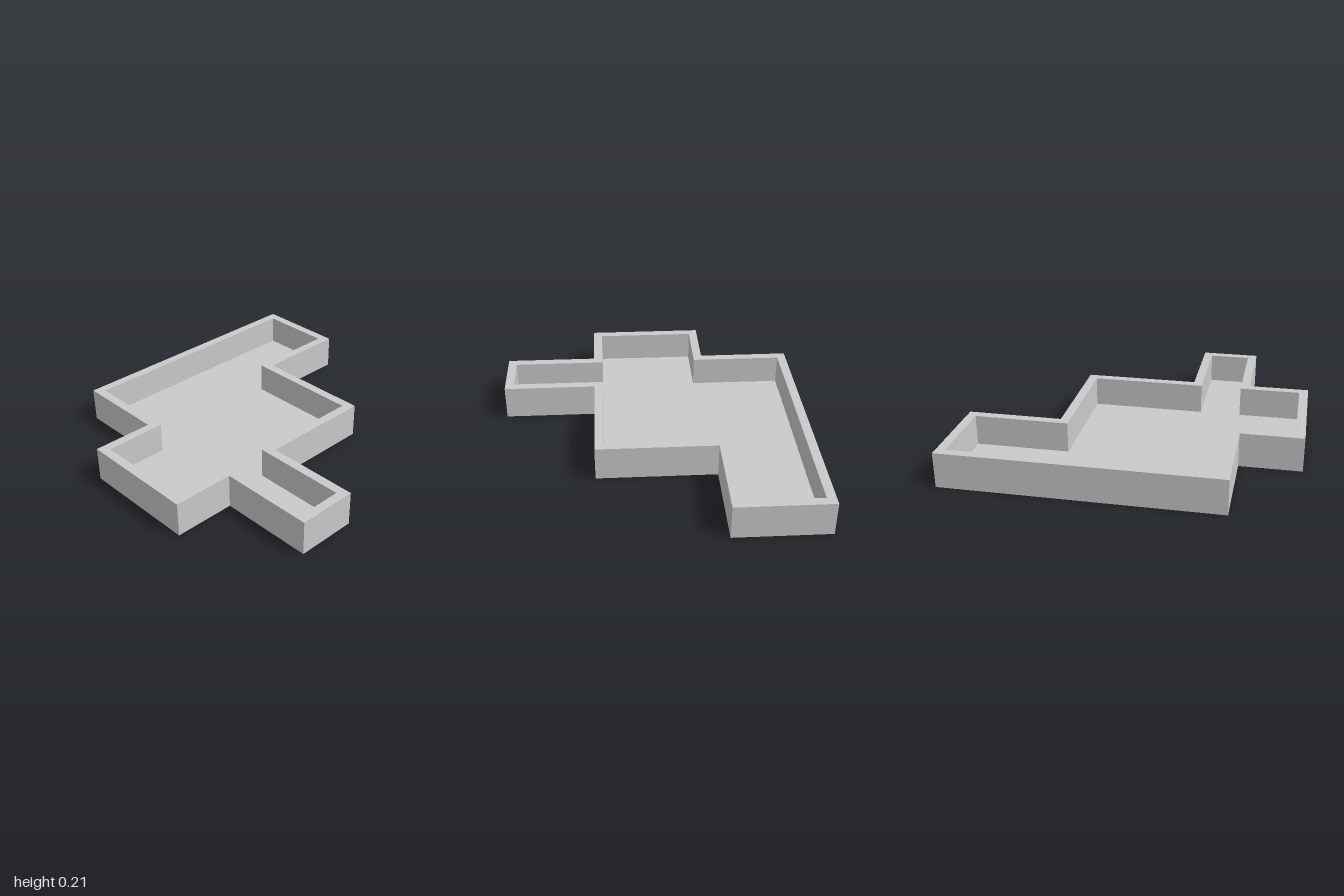
import * as THREE from 'three';

const HEIGHT = 0.21;
const WALL = 0.055;
const FLOOR = 0.026;

// Right-angled plan outline as [x, z], walked clockwise seen from above
const PLAN = [
  [-0.936, -1], [-0.366, -1], [-0.366, -0.433], [0.362, -0.433],
  [0.362, 0.265], [0.936, 0.265], [0.936, 0.628], [0.362, 0.628],
  [0.362, 1], [-0.366, 1], [-0.366, 0.628], [-0.936, 0.628],
];

// Move every corner inwards by d along both of its walls' normals
function inset(plan, d) {
  const n = plan.length;
  const normal = (a, b) => [-Math.sign(b[1] - a[1]), Math.sign(b[0] - a[0])];
  return plan.map((p, i) => {
    const n1 = normal(plan[(i + n - 1) % n], p);
    const n2 = normal(p, plan[(i + 1) % n]);
    return [p[0] + d * (n1[0] + n2[0]), p[1] + d * (n1[1] + n2[1])];
  });
}

const toPoints = (plan) => plan.map(([x, z]) => new THREE.Vector2(x, -z));

// Extrude a plan shape upwards from the ground
function raise(shape, height) {
  const geometry = new THREE.ExtrudeGeometry(shape, { depth: height, bevelEnabled: false });
  return geometry.rotateX(-Math.PI / 2);
}

export function createModel() {
  const group = new THREE.Group();
  group.name = 'steppedTray';

  const grey = new THREE.MeshStandardMaterial({ color: 0xcacaca });
  grey.name = 'grey';

  const inner = toPoints(inset(PLAN, WALL));

  // Rim wall: anticlockwise outline with a clockwise hole, so all sides face out
  const rim = new THREE.Shape(toPoints(PLAN).reverse());
  rim.holes.push(new THREE.Path(inner));
  const walls = new THREE.Mesh(raise(rim, HEIGHT), grey);
  walls.name = 'walls';

  // Thin floor filling the inside of the walls
  const floor = new THREE.Mesh(raise(new THREE.Shape(inner), FLOOR), grey);
  floor.name = 'floor';

  group.add(walls, floor);
  return group;
}
